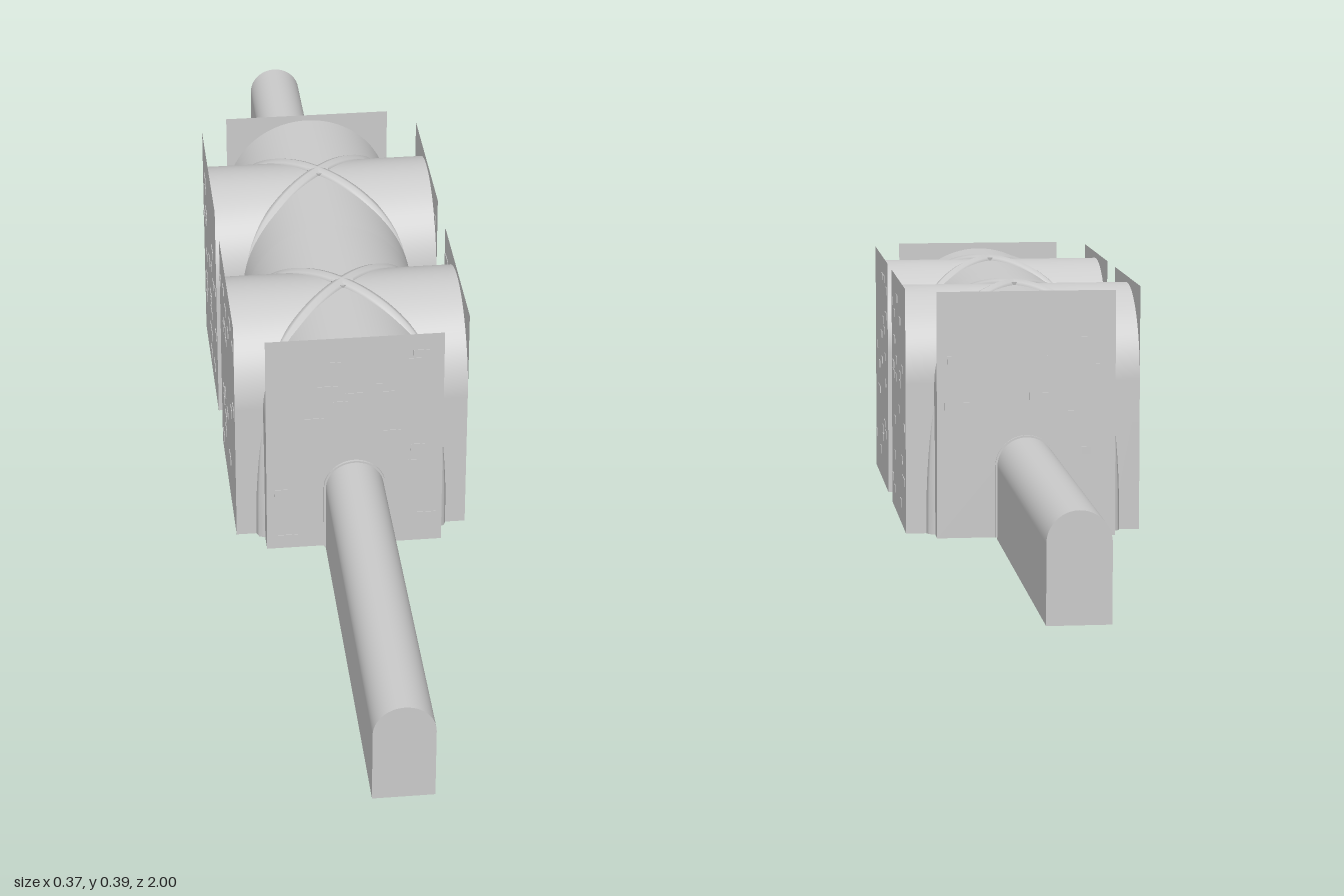
import * as THREE from 'three';

const HALF = 0.14, ARM = 0.185, SPRING = 0.24, FLOOR = 0.003, WALL_TOP = 0.39;
const DOOR = 0.046, DOOR_SPRING = 0.115, END = 1;
const grey = new THREE.MeshStandardMaterial({ color: 0xcccccc, side: THREE.DoubleSide });

function add(parent, name, geometry) {
  const mesh = new THREE.Mesh(geometry, grey);
  mesh.name = name;
  parent.add(mesh);
  return mesh;
}

// Upright walls carrying a half-round arch, as [x, y] points
function archProfile(r, spring, base, n) {
  const pts = [[r, base]];
  for (let i = 0; i <= n; i++) {
    const a = (Math.PI * i) / n;
    pts.push([r * Math.cos(a), spring + r * Math.sin(a)]);
  }
  pts.push([-r, base]);
  return pts;
}

// Ruled surface along z; near(x) and far(x) give the two ends of each rule
function ruled(profile, near, far) {
  const pos = [], idx = [];
  profile.forEach(([x, y], i) => {
    pos.push(x, y, near(x), x, y, far(x));
    if (i) {
      const k = 2 * i;
      idx.push(k - 2, k - 1, k, k - 1, k + 1, k);
    }
  });
  const g = new THREE.BufferGeometry();
  g.setAttribute('position', new THREE.Float32BufferAttribute(pos, 3));
  g.setIndex(idx);
  g.computeVertexNormals();
  return g;
}

function toShape(pts) {
  return new THREE.Shape(pts.map(([x, y]) => new THREE.Vector2(x, y)));
}

function floorPlane(w, d) {
  return new THREE.PlaneGeometry(w, d).rotateX(-Math.PI / 2);
}

// Flat end wall, with a doorway where a passage joins
function endWall(door) {
  const s = toShape([[-HALF, FLOOR], [HALF, FLOOR], [HALF, WALL_TOP], [-HALF, WALL_TOP]]);
  if (door) s.holes.push(toShape(archProfile(DOOR, DOOR_SPRING, FLOOR + 0.0005, 24)));
  return new THREE.ShapeGeometry(s);
}

// Scattered bricks standing barely proud of a wall
function addBricks(wall, seed, door) {
  let s = seed;
  const rnd = () => (s = (s * 16807) % 2147483647) / 2147483647;
  for (let i = 0; i < 22; i++) {
    const x = (rnd() - 0.5) * 0.235;
    const y = 0.022 + Math.floor(rnd() * 24) * 0.0145;
    const w = 0.014 + rnd() * 0.022;
    if (door && Math.abs(x) < 0.075 && y < 0.19) continue;
    add(wall, 'brick', new THREE.BoxGeometry(w, 0.012, 0.002)).position.set(x, y, 0);
  }
}

// Diagonal rib: a corner shaft that bends over to the crown
function ribGeometry() {
  const pts = [[0.141, FLOOR], [0.14, 0.08], [0.136, 0.16], [0.131, 0.21]];
  for (let i = 0; i <= 10; i++) {
    const a = (Math.PI / 2) * (i / 10);
    pts.push([(0.128 + 0.008 * Math.sin(a)) * Math.cos(a), SPRING + 0.137 * Math.sin(a)]);
  }
  const path = new THREE.CatmullRomCurve3(pts.map(([u, y]) => new THREE.Vector3(u, y, u)));
  return new THREE.TubeGeometry(path, 40, 0.012, 8);
}

function createBay(side) {
  const bay = new THREE.Group();
  bay.name = side > 0 ? 'frontBay' : 'backBay';
  const profile = archProfile(HALF, SPRING, FLOOR, 40);
  for (let k = 0; k < 4; k++) {
    const arm = new THREE.Group();
    arm.name = 'vaultArm';
    arm.rotation.y = (k * Math.PI) / 2;
    bay.add(arm);
    // Barrel vault mitred along the groins
    add(arm, 'barrelVault', ruled(profile, Math.abs, () => ARM));
    add(arm, 'rib', ribGeometry());
    // The arm facing the other bay stays open
    const isDoor = k === (side > 0 ? 0 : 2);
    const isOpen = k === (side > 0 ? 2 : 0);
    if (!isOpen) {
      const wall = add(arm, 'endWall', endWall(isDoor));
      wall.position.z = ARM;
      addBricks(wall, 101 + 37 * k + (side > 0 ? 0 : 500), isDoor);
    }
  }
  // Crown boss where the ribs meet
  add(bay, 'crownBoss', new THREE.CylinderGeometry(0.018, 0.014, 0.018, 12)).position.y = 0.376;
  // Cross arm floors
  for (const s of [-1, 1]) {
    add(bay, 'crossFloor', floorPlane(ARM - HALF, 2 * HALF))
      .position.set(s * (ARM + HALF) / 2, FLOOR, 0);
  }
  bay.position.z = side * ARM;
  return bay;
}

// Narrow arched passage leading out of the hall
function createPassage(side) {
  const passage = new THREE.Group();
  passage.name = side > 0 ? 'frontPassage' : 'backPassage';
  const start = 2 * ARM, profile = archProfile(DOOR, DOOR_SPRING, 0, 24);
  add(passage, 'passageVault', ruled(profile, () => start, () => END));
  add(passage, 'passageFloor', floorPlane(2 * DOOR, END - start)).position.z = (END + start) / 2;
  add(passage, 'passageEnd', new THREE.ShapeGeometry(toShape(profile))).position.z = END;
  // Slim trim around the doorway
  const trim = toShape(archProfile(DOOR + 0.003, DOOR_SPRING, FLOOR, 24));
  trim.holes.push(toShape(archProfile(DOOR, DOOR_SPRING, FLOOR + 0.0005, 24)));
  add(passage, 'doorTrim', new THREE.ExtrudeGeometry(trim, { depth: 0.006, bevelEnabled: false }))
    .position.z = start - 0.002;
  if (side < 0) passage.rotation.y = Math.PI;
  return passage;
}

export function createModel() {
  const model = new THREE.Group();
  model.name = 'vaultedHall';
  add(model, 'hallFloor', floorPlane(2 * HALF, 4 * ARM)).position.y = FLOOR;
  for (const side of [1, -1]) model.add(createBay(side), createPassage(side));
  return model;
}
